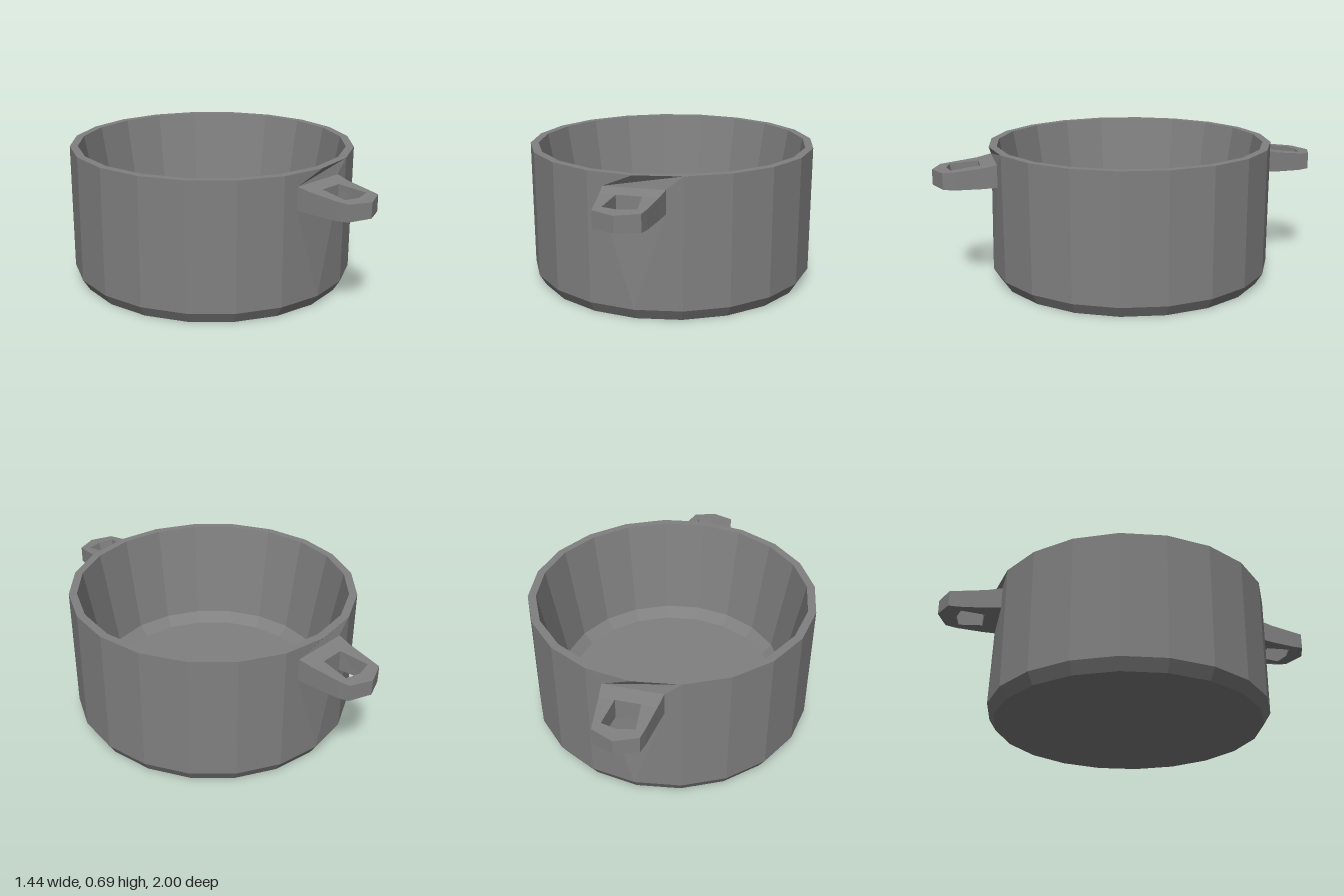
import * as THREE from 'three';

const SIDES = 20, R = 0.72, STEP = (Math.PI * 2) / SIDES;
const FOOT = 0.057, RIM = 0.693;
const ROOT_X = 0.146, ROOT_Z = 0.697;

const material = new THREE.MeshStandardMaterial({ color: 0x808080, flatShading: true });

function addMesh(parent, name, geometry) {
  const mesh = new THREE.Mesh(geometry, material);
  mesh.name = name;
  parent.add(mesh);
}

function lathe(points, segments = SIDES, start = 0, length = Math.PI * 2) {
  return new THREE.LatheGeometry(points.map(([r, y]) => new THREE.Vector2(r, y)), segments, start, length);
}

// Piecewise-linear height lookup along z
function heightAt(z, table) {
  for (let i = 1; i < table.length; i++) {
    const [z0, y0] = table[i - 1], [z1, y1] = table[i];
    if (z <= z1) return y0 + ((y1 - y0) * Math.max(0, z - z0)) / (z1 - z0);
  }
  return table[table.length - 1][1];
}

// Wall panels running from the rim and foot to the corners of the handle root
function handlePanel() {
  const sx = R * Math.sin(STEP), sz = R * Math.cos(STEP);
  const p = {
    bl: [-sx, FOOT, sz], bm: [0, FOOT, R], br: [sx, FOOT, sz],
    tl: [-sx, RIM, sz], tm: [0, RIM, R], tr: [sx, RIM, sz],
    a: [-ROOT_X, 0.518, ROOT_Z], b: [ROOT_X, 0.518, ROOT_Z],
    c: [ROOT_X, 0.63, ROOT_Z], d: [-ROOT_X, 0.63, ROOT_Z],
  };
  const faces = [
    'bl bm a', 'bm b a', 'bm br b', 'br tr b', 'tr c b',
    'tr d c', 'tr tm d', 'tm tl d', 'tl a d', 'tl bl a',
  ];
  const positions = faces.flatMap((f) => f.split(' ').flatMap((k) => p[k]));
  const g = new THREE.BufferGeometry();
  g.setAttribute('position', new THREE.Float32BufferAttribute(positions, 3));
  g.computeVertexNormals();
  return g;
}

// Handle piece: plan outline [x, z] extruded, then bent to the grip's height profile
function handlePiece(outline) {
  const shape = new THREE.Shape(outline.map(([x, z]) => new THREE.Vector2(x, z)));
  const g = new THREE.ExtrudeGeometry(shape, { depth: 1, bevelEnabled: false });
  g.rotateX(Math.PI / 2);
  const top = [[ROOT_Z, 0.63], [0.77, 0.615], [0.9, 0.6], [1, 0.594]];
  const bottom = [[ROOT_Z, 0.518], [0.77, 0.513], [0.9, 0.51], [1, 0.518]];
  const pos = g.attributes.position;
  for (let i = 0; i < pos.count; i++) {
    const x = pos.getX(i), z = pos.getZ(i), isTop = pos.getY(i) > -0.5;
    pos.setY(i, heightAt(z, isTop ? top : bottom));
    // The far wall of the opening leans outwards towards the top
    if (isTop && Math.abs(x) < 0.09 && z > 0.88 && z < 0.95) pos.setZ(i, z + 0.022);
  }
  g.computeVertexNormals();
  return g;
}

export function createModel() {
  const pot = new THREE.Group();
  pot.name = 'pot';

  // Base with chamfered foot
  addMesh(pot, 'base', lathe([[0, 0], [0.685, 0], [R, FOOT]]));

  // Rim, inner wall and floor
  addMesh(pot, 'interior', lathe([[R, RIM], [0.68, RIM], [0.59, 0.19], [0.54, 0.14], [0, 0.14]]));

  // Each half: plain outer wall, panel around the handle, handle
  for (const [side, angle] of [['front', 0], ['back', Math.PI]]) {
    const half = new THREE.Group();
    half.name = side + 'Half';
    half.rotation.y = angle;
    addMesh(half, side + 'OuterWall', lathe([[R, FOOT], [R, RIM]], SIDES / 2 - 2, STEP, Math.PI - 2 * STEP));
    addMesh(half, side + 'HandlePanel', handlePanel());
    addMesh(half, side + 'HandleRoot', handlePiece([
      [-ROOT_X, ROOT_Z], [ROOT_X, ROOT_Z], [0.135, 0.77], [-0.135, 0.77],
    ]));
    addMesh(half, side + 'HandleLoop', handlePiece([
      [0.06, 0.77], [0.135, 0.77], [0.118, 0.9], [0.108, 0.955], [0, 1],
      [-0.108, 0.955], [-0.118, 0.9], [-0.135, 0.77], [-0.06, 0.77],
      [-0.078, 0.89], [0, 0.908], [0.078, 0.89],
    ]));
    pot.add(half);
  }
  return pot;
}
